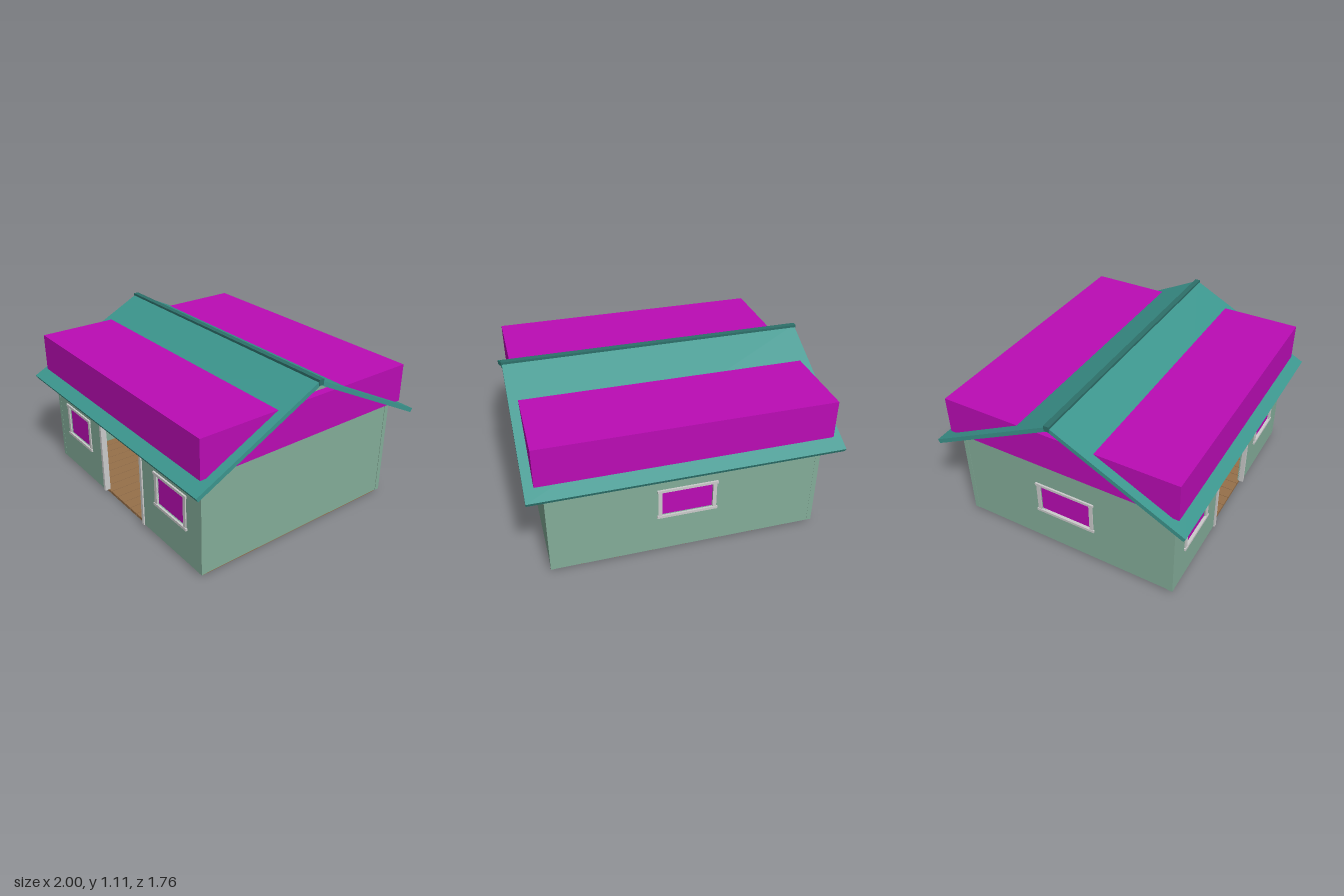
import * as THREE from 'three';

const mat = (color) => new THREE.MeshStandardMaterial({ color });
const M = {
  wall: mat(0x84ad99), roof: mat(0x3c968e), ridge: mat(0x2d706a), panel: mat(0xbb0cb5),
  trim: mat(0xcccccc), floor: mat(0x96704a), counter: mat(0x8a6240),
  sign: mat(0xb09a72), dark: mat(0x6b4630), rug: mat(0x2f5a3c),
};

// Box given by its lower and upper corners
function box(parent, name, m, [x0, y0, z0], [x1, y1, z1]) {
  const mesh = new THREE.Mesh(new THREE.BoxGeometry(x1 - x0, y1 - y0, z1 - z0), m);
  mesh.position.set((x0 + x1) / 2, (y0 + y1) / 2, (z0 + z1) / 2);
  mesh.name = name;
  parent.add(mesh);
  return mesh;
}

const poly = (pts) => new THREE.Shape(pts.map(([x, y]) => new THREE.Vector2(x, y)));
const rect = (x0, y0, x1, y1) => [[x0, y0], [x1, y0], [x1, y1], [x0, y1]];

// Flat outline with optional holes, given a thickness
function slab(parent, name, m, pts, depth, holes = []) {
  const shape = poly(pts);
  holes.forEach((h) => shape.holes.push(poly(h)));
  const mesh = new THREE.Mesh(new THREE.ExtrudeGeometry(shape, { depth, bevelEnabled: false }), m);
  mesh.name = name;
  parent.add(mesh);
  return mesh;
}

// Framed window facing +z; its origin lies on the wall's outer face
function makeWindow(name, w, y0, y1) {
  const g = new THREE.Group();
  g.name = name;
  const h = w / 2, t = 0.025;
  box(g, 'windowPane', M.panel, [-h, y0, -0.02], [h, y1, -0.008]);
  for (const s of [-1, 1]) {
    const a = s * h, b = s * (h + t);
    box(g, 'windowJamb', M.trim, [Math.min(a, b), y0, -0.03], [Math.max(a, b), y1, 0.008]);
  }
  box(g, 'windowSill', M.trim, [-h - 0.032, y0 - 0.018, -0.03], [h + 0.032, y0, 0.012]);
  box(g, 'windowHead', M.trim, [-h - 0.032, y1, -0.03], [h + 0.032, y1 + 0.018, 0.012]);
  return g;
}

export function createModel() {
  const hut = new THREE.Group();
  hut.name = 'hut';

  // Plank floor
  const floor = new THREE.Group();
  floor.name = 'floor';
  hut.add(floor);
  const n = 21, pitch = 1.74 / n;
  for (let i = 0; i < n; i++) {
    const x = -0.87 + i * pitch;
    box(floor, 'floorPlank', M.floor, [x + 0.002, 0, -0.745], [x + pitch - 0.002, 0.02, 0.745]);
  }
  box(floor, 'floorBase', M.dark, [-0.865, 0.003, -0.74], [0.865, 0.016, 0.74]);

  // Long walls
  const front = slab(hut, 'frontWall', M.wall,
    [[-0.87, 0.02], [-0.24, 0.02], [-0.24, 0.565], [0.24, 0.565], [0.24, 0.02], [0.87, 0.02], [0.87, 0.69], [-0.87, 0.69]],
    0.03, [-1, 1].map((s) => rect(s * 0.572 - 0.14, 0.275, s * 0.572 + 0.14, 0.482)));
  front.position.z = 0.735;
  const back = slab(hut, 'backWall', M.wall, rect(-0.87, 0.02, 0.87, 0.69), 0.03,
    [rect(-0.165, 0.3, 0.165, 0.482)]);
  back.position.z = -0.765;

  // Gable walls; only the one on the right has a window
  const gable = [[-0.745, 0.02], [0.745, 0.02], [0.745, 0.698], [0, 1.075], [-0.745, 0.698]];
  for (const s of [-1, 1]) {
    const g = slab(hut, s < 0 ? 'rightGableWall' : 'leftGableWall', M.wall, gable, 0.03,
      s < 0 ? [rect(-0.18, 0.28, 0.18, 0.482)] : []);
    g.rotation.y = s * Math.PI / 2;
    g.position.x = s * 0.853;
    // Corner posts
    for (const t of [-1, 1]) {
      const post = box(hut, 'cornerPost', M.wall, [-0.016, 0.02, -0.016], [0.016, 0.69, 0.016]);
      post.position.x = s * 0.87;
      post.position.z = t * 0.75;
    }
  }

  // Windows
  for (const s of [-1, 1]) {
    const w = makeWindow('frontWindow', 0.28, 0.275, 0.482);
    w.position.set(s * 0.572, 0, 0.765);
    hut.add(w);
  }
  const backWindow = makeWindow('backWindow', 0.33, 0.3, 0.482);
  backWindow.position.z = -0.765;
  backWindow.rotation.y = Math.PI;
  const sideWindow = makeWindow('sideWindow', 0.36, 0.28, 0.482);
  sideWindow.position.x = -0.883;
  sideWindow.rotation.y = -Math.PI / 2;
  hut.add(backWindow, sideWindow);

  // Door frame
  const door = new THREE.Group();
  door.name = 'doorFrame';
  hut.add(door);
  box(door, 'doorJamb', M.trim, [-0.262, 0.02, 0.735], [-0.24, 0.567, 0.775]);
  box(door, 'doorJamb', M.trim, [0.24, 0.02, 0.735], [0.262, 0.567, 0.775]);
  box(door, 'doorHead', M.trim, [-0.272, 0.565, 0.735], [0.272, 0.585, 0.778]);

  // Blank sign board above the door
  box(hut, 'signBoard', M.sign, [-0.325, 0.6, 0.765], [0.325, 0.69, 0.79]);
  box(hut, 'signTrim', M.dark, [-0.332, 0.594, 0.765], [0.332, 0.603, 0.796]);

  // Interior counter and rug
  box(hut, 'counter', M.counter, [-0.6, 0.02, -0.58], [0.02, 0.27, -0.32]);
  box(hut, 'counterTop', M.counter, [-0.61, 0.27, -0.59], [0.03, 0.285, -0.31]);
  box(hut, 'rug', M.rug, [-0.125, 0.02, -0.28], [0.4, 0.034, 0.12]);

  // Roof: two sloping panels and a ridge cap
  const slope = [[0, 1.105], [0, 1.073], [0.864, 0.635], [0.878, 0.66]];
  for (const s of [-1, 1]) {
    const panel = slab(hut, s < 0 ? 'backRoofPanel' : 'frontRoofPanel', M.roof, slope, 1.99);
    panel.rotation.y = -s * Math.PI / 2;
    panel.position.x = s * 0.995;
  }
  box(hut, 'ridgeCap', M.ridge, [-1, 1.075, -0.018], [1, 1.112, 0.018]);

  // Large block set through the roof
  box(hut, 'roofBlock', M.panel, [-0.935, 0.715, -0.807], [0.935, 0.972, 0.807]);

  return hut;
}
